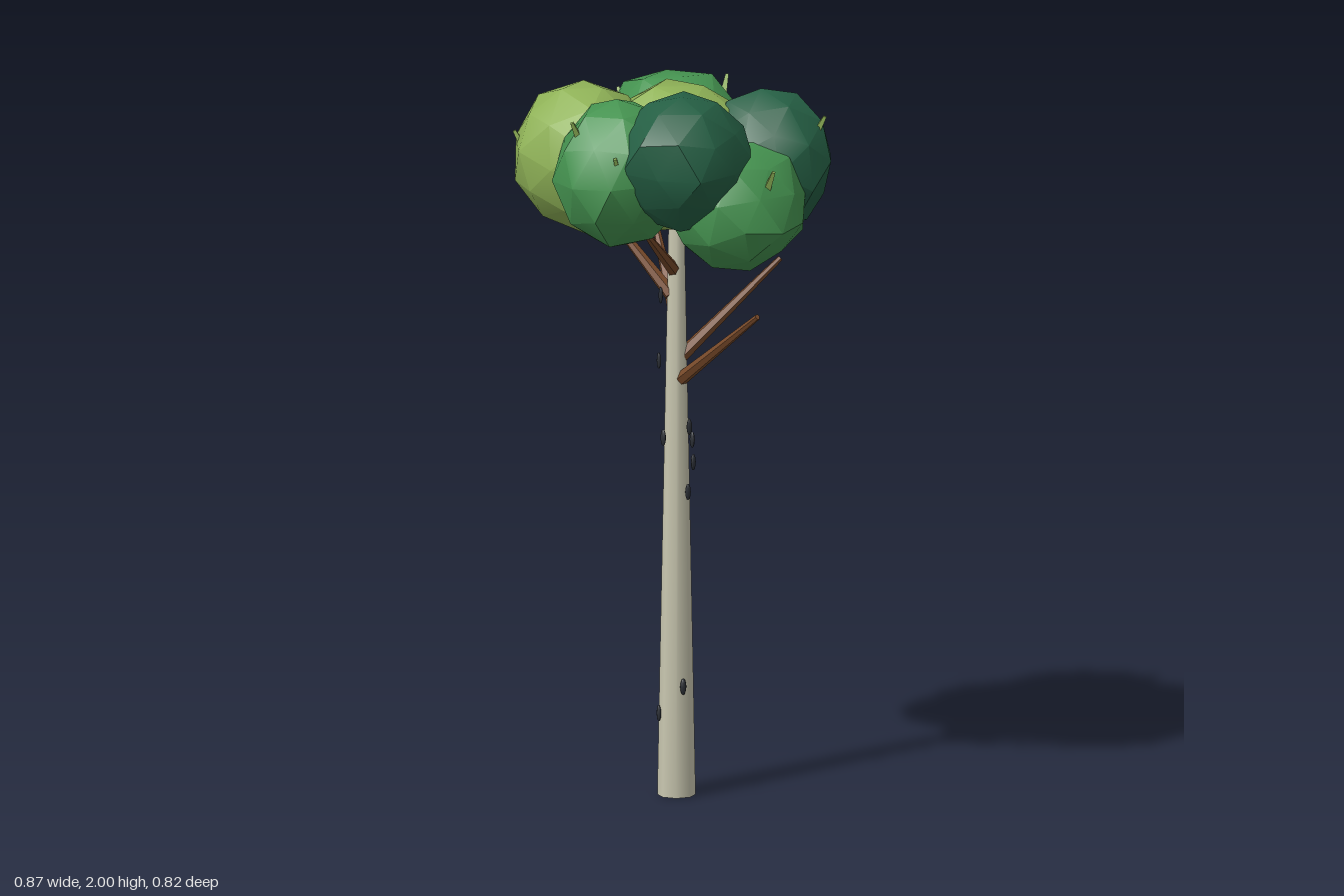
import * as THREE from 'three';
import { mergeVertices, toCreasedNormals } from 'three/addons/utils/BufferGeometryUtils.js';

const material = (color) => new THREE.MeshStandardMaterial({ color });
const BARK = material(0xc9c7b0), BRANCH = material(0x784a2a), MARK = material(0x2c3036);
const DARK = material(0x255f44), GREEN = material(0x459350), LIGHT = material(0x8fb257);
const UP = new THREE.Vector3(0, 1, 0);

// Small seeded random generator
function seeded(seed) {
  let s = seed * 7919 + 17;
  return () => (s = (s * 16807) % 2147483647) / 2147483647;
}

function add(group, name, geometry, mat) {
  const mesh = new THREE.Mesh(geometry, mat);
  mesh.name = name;
  group.add(mesh);
  return mesh;
}

// Tapered rod between two points
function rod(group, name, from, to, r0, r1, sides, mat) {
  const a = new THREE.Vector3(...from), b = new THREE.Vector3(...to);
  const dir = b.clone().sub(a);
  const geo = new THREE.CylinderGeometry(r1, r0, dir.length(), sides);
  const mesh = add(group, name, toCreasedNormals(geo, 0.85), mat);
  mesh.position.copy(a).add(b).multiplyScalar(0.5);
  mesh.quaternion.setFromUnitVectors(UP, dir.normalize());
}

// Faceted, slightly irregular leaf clump
function clumpGeometry(rx, ry, rz, seed) {
  const rand = seeded(seed);
  let geo = new THREE.IcosahedronGeometry(1, 1);
  geo.deleteAttribute('normal');
  geo.deleteAttribute('uv');
  geo = mergeVertices(geo, 1e-3);
  geo.rotateX(rand() * 3).rotateY(rand() * 6);
  const p = geo.attributes.position;
  for (let i = 0; i < p.count; i++) {
    const k = 0.95 + rand() * 0.1;
    p.setXYZ(i, p.getX(i) * k * rx, p.getY(i) * k * ry, p.getZ(i) * k * rz);
  }
  return toCreasedNormals(geo, 0.5);
}

export function createModel() {
  const tree = new THREE.Group();
  tree.name = 'tree';

  // Trunk
  rod(tree, 'trunk', [0, 0, 0], [0, 1.62, 0], 0.052, 0.021, 8, BARK);

  // Branches: start, end
  const branches = [
    [[0.02, 1.16, 0], [0.315, 1.38, 0]],
    [[0.01, 1.22, -0.01], [0.1, 1.46, -0.295]],
    [[-0.01, 1.31, -0.01], [-0.27, 1.56, -0.17]],
    [[-0.01, 1.39, 0.01], [-0.23, 1.61, 0.06]],
    [[0, 1.46, 0.01], [0.08, 1.61, 0.2]],
  ];
  for (const [a, b] of branches) rod(tree, 'branch', a, b, 0.019, 0.008, 6, BRANCH);

  // Dark bark marks on the trunk
  const marks = [
    [0.05, 1.03, 0], [0.05, 0.93, -0.015], [0.05, 0.85, 0.005], [0.047, 0.31, 0.02],
    [-0.02, 0.23, 0.047], [0, 1, 0.05], [-0.022, 1.21, 0.045], [-0.04, 1.3, -0.03],
    [-0.025, 1.39, 0.035], [0.01, 0.98, -0.05],
  ];
  const markGeo = new THREE.SphereGeometry(1, 8, 6);
  for (const [x, y, z] of marks) {
    const mark = add(tree, 'barkMark', markGeo, MARK);
    mark.position.set(x, y, z);
    mark.scale.set(0.009, 0.023, 0.006);
    mark.rotation.y = Math.atan2(x, z);
  }

  // Leaf clumps: centre, radii, material
  const crown = new THREE.Group();
  crown.name = 'crown';
  tree.add(crown);
  const clumps = [
    [[-0.01, 1.77, -0.02], [0.24, 0.205, 0.22], LIGHT],
    [[-0.178, 1.77, 0.175], [0.21, 0.205, 0.19], LIGHT],
    [[0.015, 1.77, 0.22], [0.185, 0.205, 0.19], GREEN],
    [[0.175, 1.815, 0.15], [0.193, 0.187, 0.19], DARK],
    [[0.24, 1.685, 0.005], [0.195, 0.182, 0.193], GREEN],
    [[0.185, 1.77, -0.16], [0.19, 0.2, 0.17], DARK],
    [[0.015, 1.685, -0.21], [0.205, 0.217, 0.203], LIGHT],
    [[-0.17, 1.775, -0.16], [0.22, 0.19, 0.18], GREEN],
    [[-0.213, 1.69, -0.015], [0.2, 0.183, 0.185], DARK],
  ];
  clumps.forEach(([c, r, mat], i) => {
    add(crown, 'leafClump', clumpGeometry(...r, i + 3), mat).position.set(...c);
  });

  // Small leaf sprigs poking out of the clumps
  const sprigs = [
    [-0.14, 1.89, -0.32], [0.13, 1.83, -0.335], [0.33, 1.87, -0.22], [-0.32, 1.86, -0.1],
    [-0.41, 1.78, 0.04], [-0.3, 1.81, 0.3], [-0.02, 1.89, 0.36], [0.12, 1.81, 0.34],
    [0.4, 1.77, 0.035], [0.02, 1.87, -0.29],
  ];
  for (const [x, y, z] of sprigs) {
    const out = new THREE.Vector3(x, 0, z).normalize().multiplyScalar(0.025);
    rod(crown, 'leafSprig', [x - out.x, y - 0.04, z - out.z],
      [x + out.x * 0.6, y + 0.035, z + out.z * 0.6], 0.016, 0.006, 4, LIGHT);
  }

  return tree;
}
